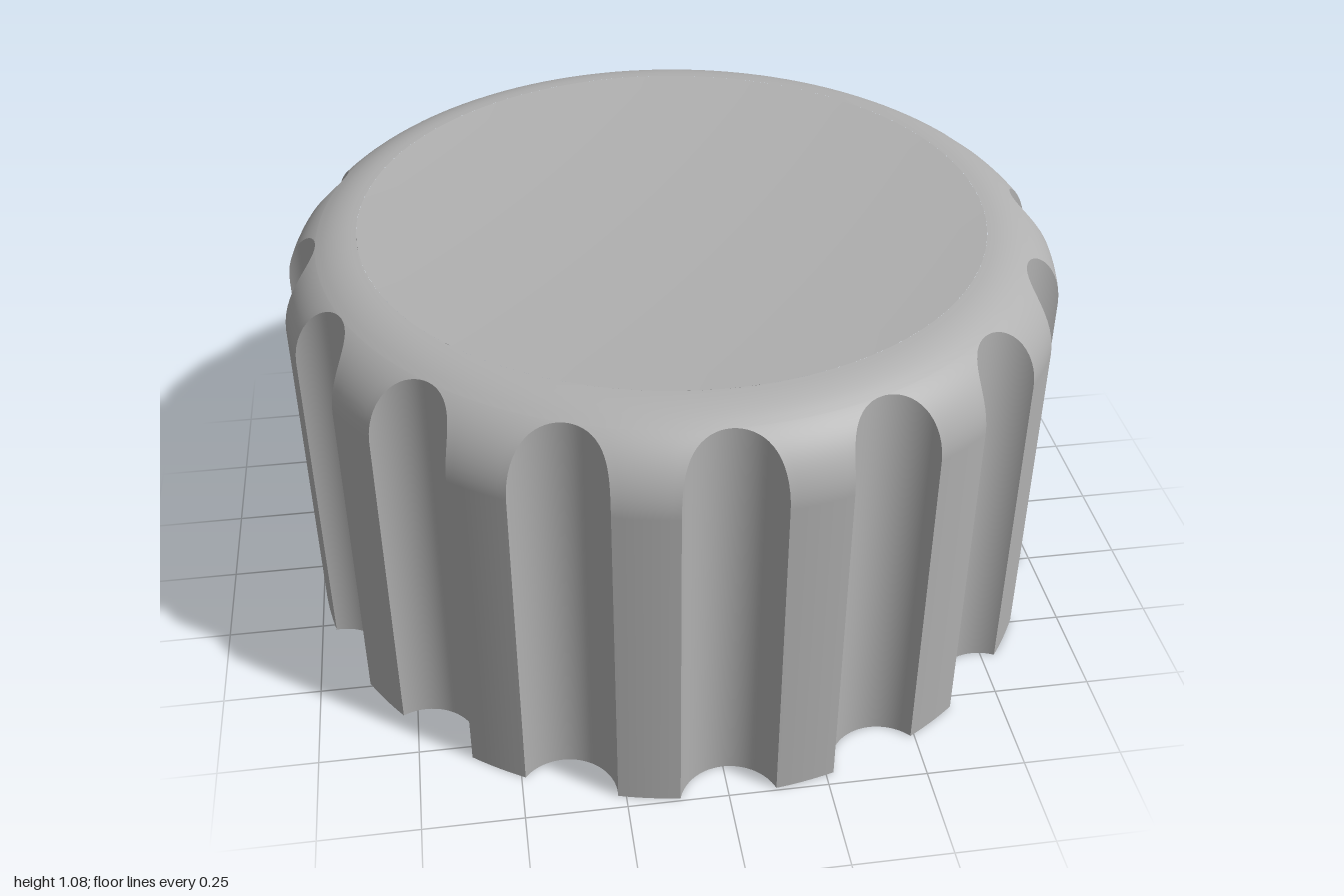
import * as THREE from 'three';
import { mergeVertices, mergeGeometries } from 'three/addons/utils/BufferGeometryUtils.js';

const FLUTES = 16, STEP = (Math.PI * 2) / FLUTES;
const CUT_C = 1.03, CUT_R = 0.125;           // flute cutter: distance from axis, radius
const TOP = 1.083, FILLET = 0.2;             // top height and rim rounding
const INNER = 1 - FILLET;
const T0 = Math.asin((CUT_C - CUT_R - INNER) / FILLET); // where flutes start on the rounding
const ROWS = 16;

// point on the rounded rim at angle t: radius and height
const rim = (t) => ({ r: INNER + FILLET * Math.sin(t), y: TOP - FILLET + FILLET * Math.cos(t) });
// half of the angle a flute takes up at radius r
const halfAngle = (r) =>
  Math.acos(Math.min(1, (r * r + CUT_C * CUT_C - CUT_R * CUT_R) / (2 * r * CUT_C)));
// rim point where the flute edge runs, u = 0 (flute top) to 1 (outer wall)
const edge = (u) => {
  const p = rim(T0 + (Math.PI / 2 - T0) * u * u);
  return { ...p, a: u === 0 ? 0 : halfAngle(p.r) };
};
const polar = (r, y, angle) => [r * Math.sin(angle), y, r * Math.cos(angle)];

// surface from rows (top to bottom) of points (left to right)
function grid(rows) {
  const n = rows[0].length, index = [];
  for (let i = 0; i < rows.length - 1; i++)
    for (let j = 0; j < n - 1; j++) {
      const a = i * n + j, b = a + n;
      index.push(a, b, a + 1, b, b + 1, a + 1);
    }
  const g = new THREE.BufferGeometry();
  g.setAttribute('position', new THREE.Float32BufferAttribute(rows.flat(2), 3));
  g.setIndex(index);
  return g;
}

function smooth(parts) {
  const g = mergeVertices(mergeGeometries(parts), 1e-5);
  g.computeVertexNormals();
  return g;
}

export function createModel() {
  const group = new THREE.Group();
  const grey = new THREE.MeshStandardMaterial({ color: 0xb0b0b0 });
  grey.name = 'grey';
  const add = (name, geometry) => {
    const mesh = new THREE.Mesh(geometry, grey);
    mesh.name = name;
    group.add(mesh);
  };
  const lathe = (name, points) =>
    add(name, new THREE.LatheGeometry(points.map(([x, y]) => new THREE.Vector2(x, y)), 96));

  // rows shared by every land: plain rim, then narrowing between flutes, then the wall
  const profile = [];
  for (let i = 0; i < 6; i++) profile.push({ ...rim((T0 * i) / 6), a: 0 });
  for (let i = 0; i <= ROWS; i++) profile.push(edge(i / ROWS));
  profile.push({ ...edge(1), y: 0 });

  const lands = [], flutes = [], outline = [];
  for (let k = 0; k < FLUTES; k++) {
    const centre = k * STEP;
    lands.push(grid(profile.map(({ r, y, a }) =>
      Array.from({ length: 9 }, (_, j) =>
        polar(r, y, centre + a + (STEP - 2 * a) * (j / 8))))));

    const top = [], bottom = [];
    for (let i = -ROWS; i <= ROWS; i++) {
      const { r, y, a } = edge(Math.abs(i) / ROWS);
      const angle = centre + Math.sign(i) * a;
      top.push(polar(r, y, angle));
      bottom.push(polar(r, 0, angle));
    }
    flutes.push(grid([top, bottom]));

    // foot outline: the flute arc, then the land arc
    bottom.forEach(([x, , z]) => outline.push(new THREE.Vector2(x, z)));
    const a = edge(1).a;
    for (let j = 1; j < 8; j++) {
      const [x, , z] = polar(1, 0, centre + a + (STEP - 2 * a) * (j / 8));
      outline.push(new THREE.Vector2(x, z));
    }
  }
  add('gripWall', smooth(lands));
  add('flutes', smooth(flutes));

  // shallow dished top
  const dish = [];
  for (let i = 0; i <= 12; i++) {
    const q = 1 - i / 12;
    dish.push([INNER * q, TOP - 0.03 * (1 - q * q)]);
  }
  lathe('dishedTop', dish);

  // underside with stepped bore
  const foot = new THREE.Shape(outline);
  foot.holes.push(new THREE.Path().absarc(0, 0, 0.46, 0, Math.PI * 2, true));
  add('underside', new THREE.ShapeGeometry(foot, 48).rotateX(Math.PI / 2));
  lathe('recessWall', [[0.46, 0.275], [0.46, 0]]);
  lathe('recessLedge', [[0.235, 0.275], [0.46, 0.275]]);
  lathe('boreWall', [[0.235, 0.75], [0.235, 0.275]]);
  lathe('boreEnd', [[0, 0.75], [0.235, 0.75]]);

  return group;
}
